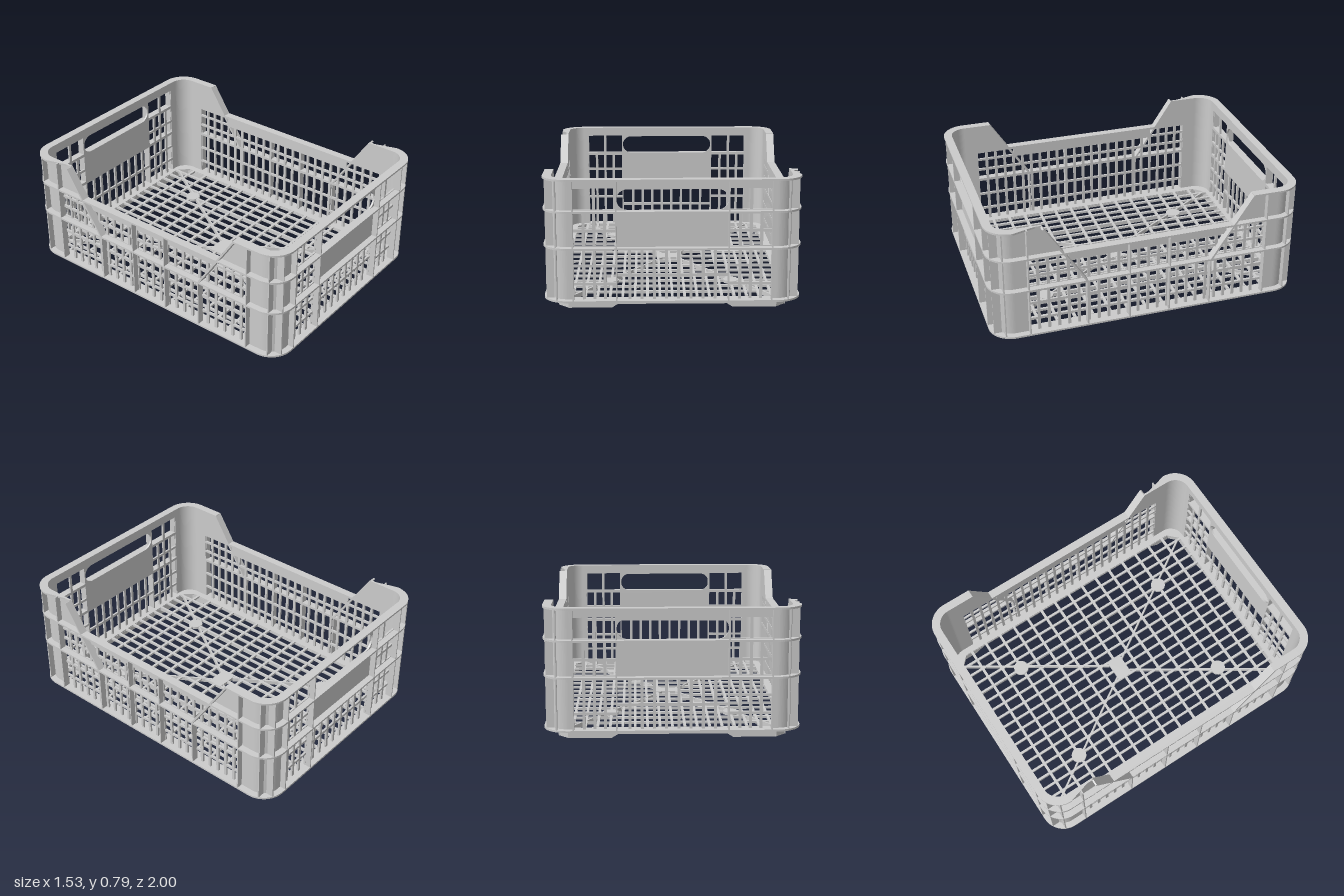
import * as THREE from 'three';

const material = new THREE.MeshStandardMaterial({ color: 0xcccccc, side: THREE.DoubleSide });
const HX = 0.765, HZ = 1, R = 0.15;          // outer footprint and corner radius
const LIP = 0.04, WALL = 0.013;              // flange overhang and wall thickness
const BASE = 0.05, LOW = 0.375, MID = 0.595, TOP = 0.79, T = 0.012;

function add(parent, name, geometry) {
  const mesh = new THREE.Mesh(geometry, material);
  mesh.name = name;
  parent.add(mesh);
  return mesh;
}

// Box given by its limits
function box(parent, name, x0, x1, y0, y1, z0, z1) {
  const mesh = add(parent, name, new THREE.BoxGeometry(x1 - x0, y1 - y0, z1 - z0));
  mesh.position.set((x0 + x1) / 2, (y0 + y1) / 2, (z0 + z1) / 2);
  return mesh;
}

const polygon = (pts) => new THREE.Shape(pts.map(([x, y]) => new THREE.Vector2(x, y)));
const rectHole = (x0, x1, y0, y1) => polygon([[x0, y0], [x0, y1], [x1, y1], [x1, y0]]);

// Upright sheet: shape in x/y, from z0 outwards
function sheet(parent, name, shape, z0, depth) {
  const g = new THREE.ExtrudeGeometry(shape, { depth, bevelEnabled: false, curveSegments: 10 });
  return add(parent, name, g.translate(0, 0, z0));
}

// Flat slab: shape in x/z, between two heights
function slab(parent, name, shape, y0, y1) {
  const g = new THREE.ExtrudeGeometry(shape, { depth: y1 - y0, bevelEnabled: false, curveSegments: 10 });
  return add(parent, name, g.rotateX(Math.PI / 2).translate(0, y1, 0));
}

function roundedRect(hx, hz, r) {
  const s = new THREE.Shape();
  s.absarc(hx - r, hz - r, r, 0, Math.PI / 2);
  s.absarc(-hx + r, hz - r, r, Math.PI / 2, Math.PI);
  s.absarc(-hx + r, -hz + r, r, Math.PI, Math.PI * 1.5);
  s.absarc(hx - r, -hz + r, r, Math.PI * 1.5, Math.PI * 2);
  s.closePath();
  return s;
}

// U-shaped rim running round one end of the crate
function endRim(z0) {
  const s = new THREE.Shape(), i = LIP + WALL, cx = HX - R, cz = HZ - R;
  s.moveTo(HX, z0);
  s.absarc(cx, cz, R, 0, Math.PI / 2);
  s.absarc(-cx, cz, R, Math.PI / 2, Math.PI);
  s.lineTo(-HX, z0);
  s.lineTo(-HX + i, z0);
  s.absarc(-cx, cz, R - i, Math.PI, Math.PI / 2, true);
  s.absarc(cx, cz, R - i, Math.PI / 2, 0, true);
  s.lineTo(HX - i, z0);
  s.closePath();
  return s;
}

// Openings left between evenly spaced upright bars
function openings(shape, x0, x1, count, y0, y1, bar = 0.018) {
  const step = (x1 - x0) / count;
  for (let i = 0; i < count; i++) {
    const a = x0 + i * step + (i ? bar / 2 : 0);
    const b = x0 + (i + 1) * step - (i < count - 1 ? bar / 2 : 0);
    shape.holes.push(rectHole(a, b, y0, y1));
  }
}

// End wall with handle, grille and ribs, facing +z
function endWall() {
  const g = new THREE.Group(), w = HX - R, zi = HZ - LIP - WALL;
  const s = polygon([[-w, BASE], [w, BASE], [w, TOP], [-w, TOP]]);
  for (const [a, b] of [[-0.585, -0.335], [0.335, 0.585]]) {
    for (const [y0, y1] of [[0.062, 0.147], [0.163, 0.257], [0.273, 0.367], [0.387, 0.47], [0.487, 0.585]])
      openings(s, a, b, 4, y0, y1);
    openings(s, a, b, 2, 0.605, 0.73);
  }
  openings(s, -0.325, 0.325, 9, 0.062, 0.2);
  openings(s, -0.325, 0.325, 9, 0.218, LOW);
  const grip = new THREE.Path();
  grip.absarc(0.265, 0.663, 0.062, -Math.PI / 2, Math.PI / 2);
  grip.absarc(-0.265, 0.663, 0.062, Math.PI / 2, Math.PI * 1.5);
  grip.closePath();
  s.holes.push(grip);
  sheet(g, 'endPanel', s, zi, WALL);
  for (const x of [-0.585, -0.33, 0.33, 0.585])
    box(g, 'endRib', x - 0.004, x + 0.004, BASE, TOP, zi + WALL / 2, HZ - 0.002);
  // foot skirt, lifted in the middle
  sheet(g, 'endFoot', polygon([[-0.62, 0], [-0.36, 0], [-0.325, 0.022], [0.325, 0.022],
    [0.36, 0], [0.62, 0], [0.62, BASE + 0.005], [-0.62, BASE + 0.005]]), 0.915, 0.015);
  return g;
}

// Long wall with lowered middle, facing +z before it is turned
function sideWall() {
  const g = new THREE.Group(), w = HZ - R, zi = HX - LIP - WALL;
  const s = polygon([[-w, BASE], [w, BASE], [w, TOP], [0.67, TOP], [0.542, MID],
    [-0.542, MID], [-0.67, TOP], [-w, TOP]]);
  for (const [y0, y1] of [[0.062, 0.137], [0.153, 0.252], [0.268, 0.367], [0.385, 0.447], [0.463, 0.525]])
    openings(s, -0.765, 0.765, 24, y0, y1);
  openings(s, -0.765, -0.51, 4, 0.54, 0.585);
  openings(s, 0.51, 0.765, 4, 0.54, 0.585);
  sheet(g, 'sidePanel', s, zi, WALL);
  for (const m of [-1, 1]) {
    for (const [x, top] of [[0.13, MID], [0.4, LOW], [0.765, TOP]])
      box(g, 'sideRib', m * x - 0.004, m * x + 0.004, BASE, top, zi + WALL / 2, HX - 0.002);
    // sloping rim from the raised end down to the lower flange
    const dx = 0.27, dy = TOP - LOW - 0.004;
    const slope = add(g, 'slopingRim', new THREE.BoxGeometry(Math.hypot(dx, dy), T, LIP + WALL));
    slope.position.set(m * 0.535, (TOP + LOW) / 2 - 0.004, HX - (LIP + WALL) / 2);
    slope.rotation.z = m * Math.atan2(dy, dx);
  }
  sheet(g, 'sideFoot', polygon([[-0.87, 0], [-0.77, 0], [-0.71, 0.04], [0.71, 0.04],
    [0.77, 0], [0.87, 0], [0.87, BASE + 0.005], [-0.87, BASE + 0.005]]), 0.665, 0.015);
  return g;
}

// One rounded corner at the +x +z end, with its ribs and foot
function corner(sx, sz) {
  const g = new THREE.Group(), cx = HX - R, cz = HZ - R;
  const start = Math.atan2(sz, sx) - Math.PI / 4, r0 = R - LIP - WALL;
  const a = Math.round(start / (Math.PI / 2)) * Math.PI / 2;
  const s = new THREE.Shape();
  s.absarc(sx * cx, sz * cz, r0 + WALL, a, a + Math.PI / 2);
  s.absarc(sx * cx, sz * cz, r0, a + Math.PI / 2, a, true);
  s.closePath();
  slab(g, 'cornerPanel', s, BASE, TOP);
  const ribX = box(g, 'cornerRib', -0.004, 0.004, BASE, TOP, -0.025, 0.025);
  ribX.position.x = sx * 0.685;
  ribX.position.z = sz * 0.955;
  const ribZ = box(g, 'cornerRib', -0.025, 0.025, BASE, TOP, -0.004, 0.004);
  ribZ.position.x = sx * 0.722;
  ribZ.position.z = sz * 0.915;
  const foot = box(g, 'cornerFoot', -0.046, 0.046, 0, BASE + 0.005, -0.007, 0.007);
  foot.position.x = sx * 0.643;
  foot.position.z = sz * 0.893;
  foot.rotation.y = sx * sz * Math.PI / 4;
  return g;
}

// Open lattice floor with diagonal ribs, discs and centre plate
function floor() {
  const g = new THREE.Group(), fx = 0.667, fz = 0.917, c = 0.07, top = BASE + 0.015;
  const ring = roundedRect(HX, HZ, R);
  ring.holes.push(polygon([[fx, fz - c], [fx - c, fz], [c - fx, fz], [-fx, fz - c],
    [-fx, c - fz], [c - fx, -fz], [fx - c, -fz], [fx, c - fz]]));
  slab(g, 'baseFlange', ring, BASE, BASE + T);
  for (let i = 1; i < 18; i++) {
    const x = -fx + (i * 2 * fx) / 18, deep = Math.abs(i - 9) === 5 ? 0.012 : 0;
    box(g, 'longFloorBar', x - 0.008, x + 0.008, BASE - deep, top, -fz, fz);
  }
  for (let i = 1; i < 16; i++) {
    const z = -fz + (i * 2 * fz) / 16;
    box(g, 'crossFloorBar', -fx, fx, BASE, top - 0.001, z - 0.009, z + 0.009);
  }
  for (const sx of [-1, 1]) for (const sz of [-1, 1]) {
    const dx = 0.55, dz = 0.85;
    const rib = box(g, 'diagonalRib', -Math.hypot(dx, dz) / 2, Math.hypot(dx, dz) / 2, 0.038, top + 0.001, -0.006, 0.006);
    rib.position.x = sx * 0.325;
    rib.position.z = sz * 0.475;
    rib.rotation.y = -sx * sz * Math.atan2(dz, dx);
    add(g, 'floorDisc', new THREE.CylinderGeometry(0.05, 0.05, 0.018, 24)).position.set(sx * 0.375, 0.058, sz * 0.575);
  }
  box(g, 'centrePlate', -0.08, 0.08, 0.045, top + 0.002, -0.05, 0.05);
  return g;
}

export function createModel() {
  const crate = new THREE.Group();
  crate.name = 'crate';
  const place = (part, name, turn = 0) => {
    part.name = name;
    part.rotation.y = turn;
    crate.add(part);
  };
  place(endWall(), 'frontWall');
  place(endWall(), 'backWall', Math.PI);
  place(sideWall(), 'leftWall', Math.PI / 2);
  place(sideWall(), 'rightWall', -Math.PI / 2);
  for (const sx of [-1, 1]) for (const sz of [-1, 1]) place(corner(sx, sz), 'corner');
  place(floor(), 'floor');
  // flanges round the outside
  const inset = LIP + WALL;
  for (const y of [LOW, MID]) {
    const ring = roundedRect(HX, HZ, R);
    ring.holes.push(roundedRect(HX - inset, HZ - inset, R - inset));
    slab(crate, 'flange', ring, y - T / 2, y + T / 2);
  }
  for (const turn of [0, Math.PI])
    slab(crate, 'endRim', endRim(0.665), TOP - T, TOP).rotation.y = turn;
  return crate;
}
